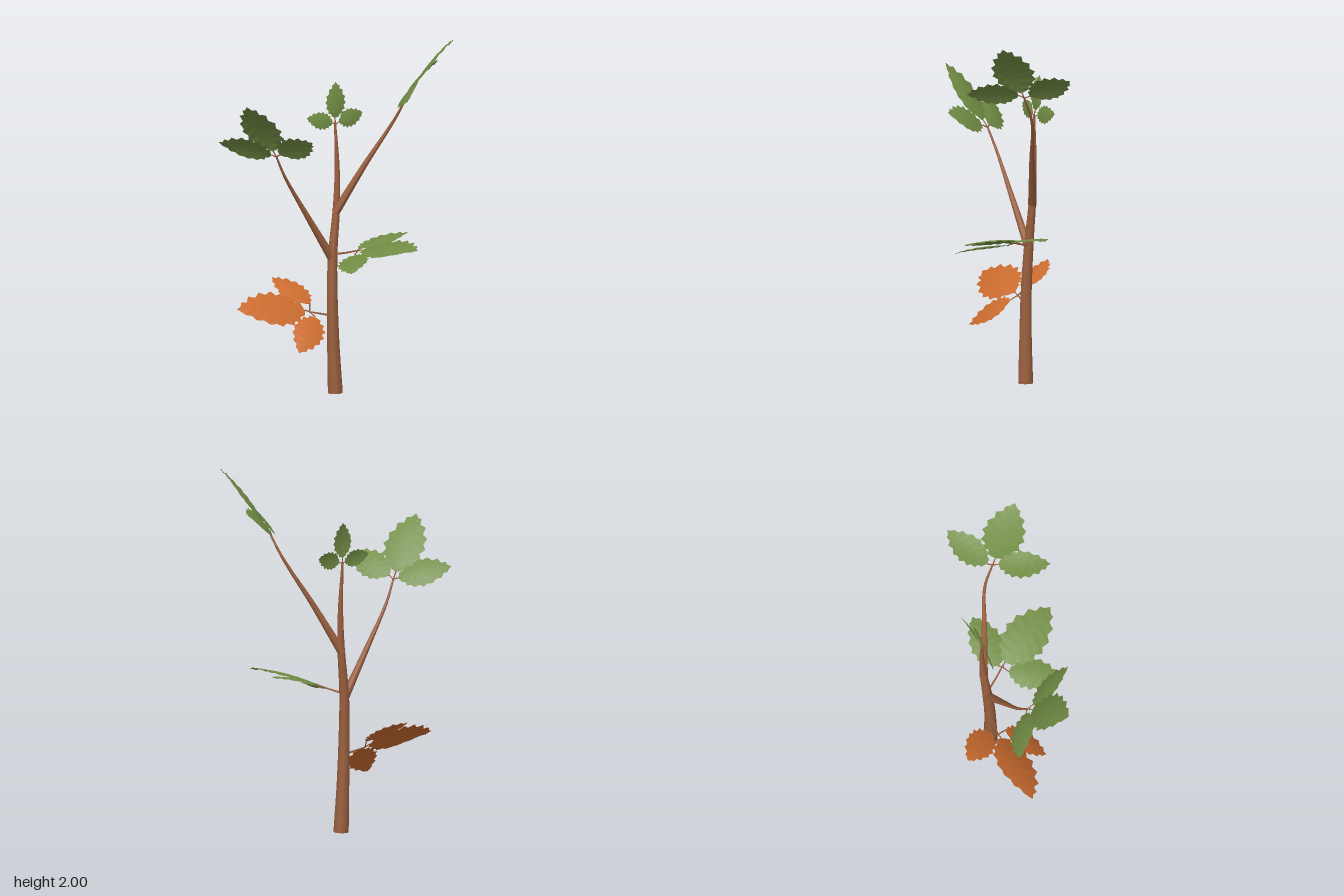
import * as THREE from 'three';

const V = (a) => new THREE.Vector3(...a);
const mat = (name, color, side = THREE.FrontSide) => {
  const m = new THREE.MeshStandardMaterial({ color, side });
  m.name = name;
  return m;
};

// Toothed half outline of a leaflet: [along, across], in leaflet lengths
const OUTLINE = [
  [0, 0.01], [0.04, 0.12], [0.11, 0.14], [0.12, 0.23], [0.21, 0.23], [0.25, 0.31],
  [0.35, 0.27], [0.42, 0.34], [0.5, 0.28], [0.6, 0.31], [0.67, 0.22], [0.78, 0.23],
  [0.82, 0.13], [0.91, 0.12], [0.93, 0.06], [1, 0],
];

// Curved tube whose radius runs through the given values
function taperedTube(name, points, radii, material, sides = 12) {
  const curve = new THREE.CatmullRomCurve3(points.map(V));
  const segs = points.length * 5;
  const geo = new THREE.TubeGeometry(curve, segs, 1, sides, false);
  const pos = geo.attributes.position;
  const v = new THREE.Vector3();
  for (let i = 0; i <= segs; i++) {
    const centre = curve.getPointAt(i / segs);
    const f = (i / segs) * (radii.length - 1);
    const k = Math.min(Math.floor(f), radii.length - 2);
    const r = THREE.MathUtils.lerp(radii[k], radii[k + 1], f - k);
    for (let j = 0; j <= sides; j++) {
      const n = i * (sides + 1) + j;
      v.fromBufferAttribute(pos, n).sub(centre).multiplyScalar(r).add(centre);
      pos.setXYZ(n, v.x, Math.max(v.y, 0), v.z);
    }
  }
  geo.computeVertexNormals();
  const mesh = new THREE.Mesh(geo, material);
  mesh.name = name;
  return mesh;
}

// Arched blade from base to tip, drooping at the sides, rippled at the teeth
function leaflet(name, base, tip, planeNormal, material) {
  const dir = tip.clone().sub(base);
  const len = dir.length();
  dir.normalize();
  const side = dir.clone().cross(planeNormal).normalize();
  const up = side.clone().cross(dir);
  const verts = [], index = [];
  const rows = OUTLINE.length, cols = 5;
  OUTLINE.forEach(([t, w], j) => {
    const rib = j / (rows - 1);
    for (let c = -2; c <= 2; c++) {
      const s = Math.abs(c) / 2;
      const along = THREE.MathUtils.lerp(rib, t, s);
      const across = (w * 0.95 * c) / 2;
      const ripple = (j % 2 ? 0.012 : -0.012) * s;
      const lift = 0.2 * along * (1 - along) - 0.4 * across * across + ripple;
      verts.push(...base.clone()
        .addScaledVector(dir, along * len)
        .addScaledVector(side, across * len)
        .addScaledVector(up, lift * len).toArray());
    }
    if (j === rows - 1) return;
    for (let c = 0; c < cols - 1; c++) {
      const a = j * cols + c, b = a + cols;
      index.push(a, a + 1, b, a + 1, b + 1, b);
    }
  });
  const geo = new THREE.BufferGeometry();
  geo.setAttribute('position', new THREE.Float32BufferAttribute(verts, 3));
  geo.setIndex(index);
  geo.computeVertexNormals();
  const mesh = new THREE.Mesh(geo, material);
  mesh.name = name;
  return mesh;
}

// Three leaflets on one forked stalk; blades = [base, tip] for middle, sideA, sideB
function leafCluster(name, stalk, blades, leafMat, barkMat) {
  const group = new THREE.Group();
  group.name = name;
  const node = stalk[stalk.length - 1];
  if (stalk.length > 1) group.add(taperedTube('leafStalk', stalk, [0.006, 0.004], barkMat, 6));
  const mid = V(blades[0][1]).sub(V(node));
  const span = V(blades[1][1]).sub(V(blades[2][1]));
  const normal = mid.cross(span).normalize();
  if (normal.y < 0) normal.negate();
  ['middle', 'sideA', 'sideB'].forEach((part, i) => {
    const [base, tip] = blades[i];
    group.add(taperedTube(part + 'Stalklet', [node, base], [0.004, 0.003], barkMat, 6));
    group.add(leaflet(part + 'Leaflet', V(base), V(tip), normal, leafMat));
  });
  return group;
}

export function createModel() {
  const root = new THREE.Group();
  root.name = 'sapling';
  const bark = mat('bark', 0x9a5f3e);
  const green = mat('greenLeaf', 0x728d45, THREE.DoubleSide);
  const orange = mat('orangeLeaf', 0xc96b2f, THREE.DoubleSide);

  // Trunk with closed foot
  root.add(taperedTube('trunk', [
    [0.025, 0, -0.115], [0.015, 0.25, -0.117], [0.01, 0.5, -0.122], [0.015, 0.76, -0.135],
    [0.04, 1.03, -0.15], [0.046, 1.25, -0.157], [0.035, 1.5, -0.16],
  ], [0.042, 0.035, 0.031, 0.027, 0.021, 0.014, 0.006], bark));
  const foot = new THREE.Mesh(new THREE.CircleGeometry(0.042, 12), bark);
  foot.name = 'trunkFoot';
  foot.rotation.x = Math.PI / 2;
  foot.position.set(0.025, 0.001, -0.115);
  root.add(foot);

  // Two main branches
  root.add(taperedTube('rightBranch', [
    [0.01, 0.75, -0.135], [-0.14, 1.0, -0.085], [-0.28, 1.24, -0.035], [-0.335, 1.36, 0],
  ], [0.024, 0.017, 0.01, 0.005], bark));
  root.add(taperedTube('leftBranch', [
    [0.035, 1.0, -0.15], [0.19, 1.27, -0.105], [0.35, 1.53, -0.06], [0.41, 1.68, 0],
  ], [0.024, 0.017, 0.01, 0.005], bark));

  // Leaf clusters
  const clusters = [
    ['autumnLeaves', orange, [[0.01, 0.43, -0.12], [-0.06, 0.447, -0.115], [-0.12, 0.46, -0.11]], [
      [[-0.15, 0.475, -0.1], [-0.55, 0.51, -0.03]],
      [[-0.11, 0.5, -0.15], [-0.28, 0.615, -0.325]],
      [[-0.1, 0.44, -0.06], [-0.24, 0.285, 0.13]]]],
    ['lowerLeaves', green, [[0.02, 0.77, -0.135], [0.08, 0.79, -0.07], [0.13, 0.81, -0.02]], [
      [[0.15, 0.815, 0], [0.38, 0.865, 0.32]],
      [[0.1, 0.79, 0.01], [0.02, 0.745, 0.28]],
      [[0.14, 0.815, -0.04], [0.43, 0.875, -0.11]]]],
    ['rightBranchLeaves', green, [[-0.335, 1.36, 0]], [
      [[-0.36, 1.4, 0.02], [-0.55, 1.685, 0.18]],
      [[-0.36, 1.37, -0.015], [-0.63, 1.43, -0.12]],
      [[-0.325, 1.38, 0.035], [-0.2, 1.485, 0.265]]]],
    ['leftBranchLeaves', green, [[0.41, 1.68, 0]], [
      [[0.43, 1.715, 0.02], [0.615, 2.0, 0.18]],
      [[0.42, 1.69, -0.03], [0.625, 1.805, -0.2]],
      [[0.4, 1.695, 0.03], [0.33, 1.7, 0.305]]]],
    ['topLeaves', green, [[0.035, 1.49, -0.16]], [
      [[0.037, 1.525, -0.165], [0.045, 1.72, -0.19]],
      [[0.02, 1.5, -0.157], [-0.13, 1.535, -0.14]],
      [[0.06, 1.5, -0.17], [0.207, 1.535, -0.23]]]],
  ];
  for (const [name, leafMat, stalk, blades] of clusters) {
    root.add(leafCluster(name, stalk, blades, leafMat, bark));
  }
  return root;
}
